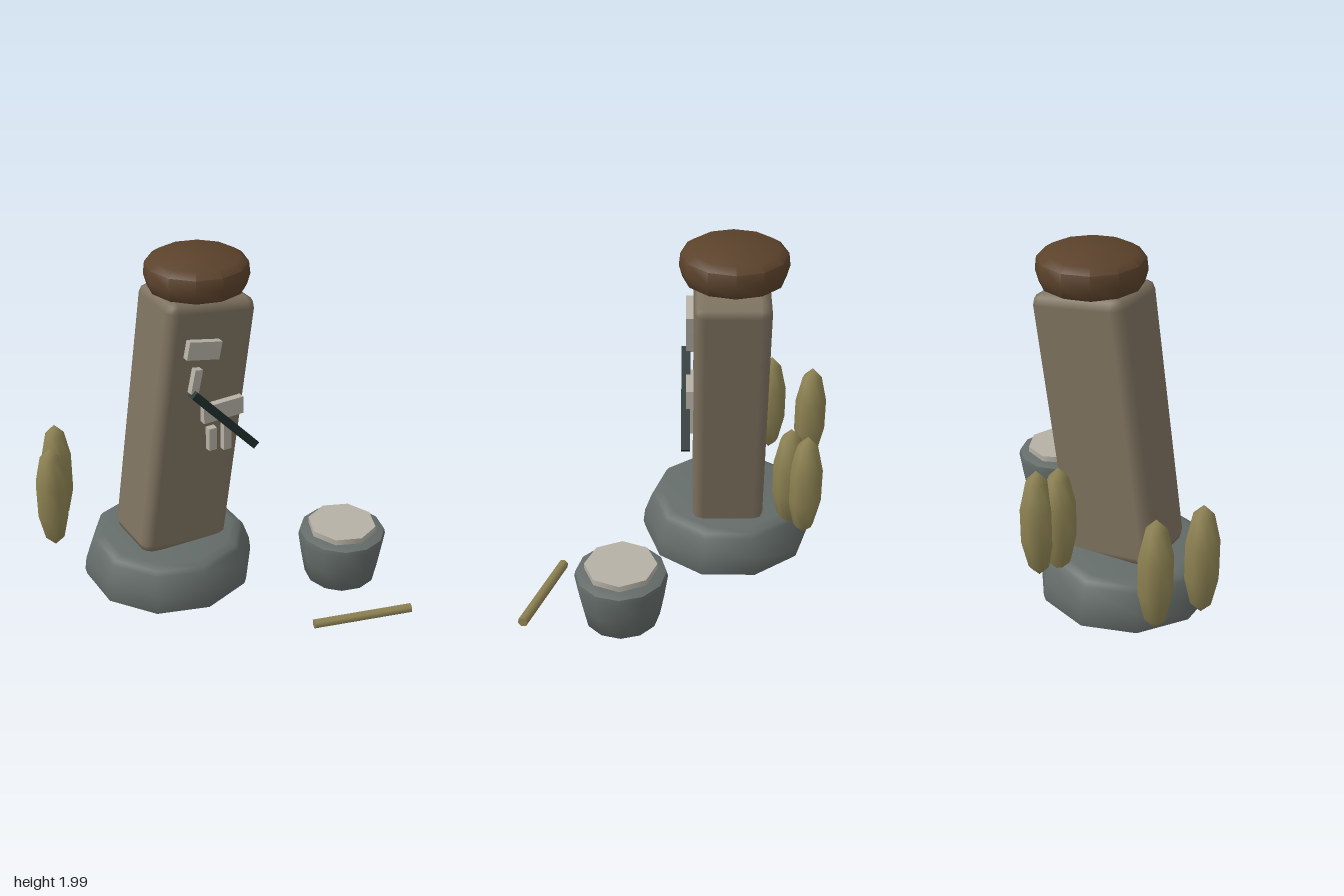
import * as THREE from 'three';
import { RoundedBoxGeometry } from 'three/addons/geometries/RoundedBoxGeometry.js';
import { toCreasedNormals } from 'three/addons/utils/BufferGeometryUtils.js';

const paint = (name, color) => {
  const m = new THREE.MeshStandardMaterial({ color });
  m.name = name;
  return m;
};

export function createModel() {
  const group = new THREE.Group();
  const stone = paint('greyStone', 0x646c69);
  const clay = paint('taupeStone', 0x7e725f);
  const bark = paint('darkBrown', 0x5b422b);
  const reed = paint('oliveReed', 0x8e8353);
  const pale = paint('paleStone', 0xb6b1a6);
  const dark = paint('darkSlate', 0x1f302f);

  const add = (name, geo, mat, x, y, z, rz = 0) => {
    const mesh = new THREE.Mesh(geo, mat);
    mesh.name = name;
    mesh.position.set(x, y, z);
    mesh.rotation.z = rz;
    group.add(mesh);
    return mesh;
  };
  // Rounded stone turned from a profile, listed bottom to top
  const turned = (profile, sides) =>
    toCreasedNormals(new THREE.LatheGeometry(profile.map(([r, y]) => new THREE.Vector2(r, y)), sides), 0.9);

  // Base, leaning pillar and cap
  add('base', turned([[0, 0.01], [0.45, 0.01], [0.5, 0.03], [0.51, 0.07], [0.5, 0.15],
    [0.46, 0.26], [0.44, 0.285], [0.39, 0.3], [0, 0.3]], 10), stone, -0.2, 0, -0.28);
  add('pillar', new RoundedBoxGeometry(0.555, 1.55, 0.41, 1, 0.06), clay, -0.09, 1.03, -0.275, -0.136);
  add('cap', turned([[0, 1.8], [0.22, 1.8], [0.275, 1.825], [0.293, 1.89],
    [0.285, 1.96], [0.24, 1.99], [0, 2]], 12), bark, 0.015, 0, -0.283);

  // Small stone bowl with a pale top disc
  add('bowl', turned([[0, 0.015], [0.165, 0.015], [0.21, 0.05], [0.235, 0.18], [0.257, 0.32],
    [0.25, 0.35], [0.21, 0.365], [0, 0.365]], 12), stone, 0.645, 0, 0.322);
  add('bowlTop', new THREE.CylinderGeometry(0.2, 0.2, 0.04, 8), pale, 0.642, 0.38, 0.322);

  // Pale blocks on the pillar front: x, y, width, height, tilt
  [[-0.08, 1.548, 0.205, 0.105, -0.2], [-0.13, 1.37, 0.048, 0.145, -0.21],
    [0.04, 1.15, 0.255, 0.105, 0.01], [-0.03, 0.982, 0.05, 0.14, 0],
    [0.065, 0.98, 0.05, 0.18, 0]].forEach(([x, y, w, h, tilt], i) =>
    add('frontBlock' + (i + 1), new THREE.BoxGeometry(w, h, 0.042), pale, x, y, -0.05, tilt));
  add('diagonalBar', new THREE.BoxGeometry(0.59, 0.048, 0.05), dark, 0.042, 1.09, -0.028, -0.82);

  // Upright reed heads
  const head = new THREE.SphereGeometry(0.1, 8, 5).scale(1, 3.3, 1);
  [[-0.672, -0.805], [-0.812, -0.563], [0.108, -0.715], [0.026, -0.628]].forEach(([x, z], i) =>
    add('reedHead' + (i + 1), head, reed, x, 0.55, z));

  // Stick lying in front
  const a = new THREE.Vector3(0.215, 0.058, 0.685);
  const b = new THREE.Vector3(0.76, 0.082, 0.865);
  const mid = a.clone().add(b).multiplyScalar(0.5);
  const stick = add('stick', new THREE.CylinderGeometry(0.029, 0.029, a.distanceTo(b), 6), reed, mid.x, mid.y, mid.z);
  stick.quaternion.setFromUnitVectors(new THREE.Vector3(0, 1, 0), b.clone().sub(a).normalize());

  return group;
}
